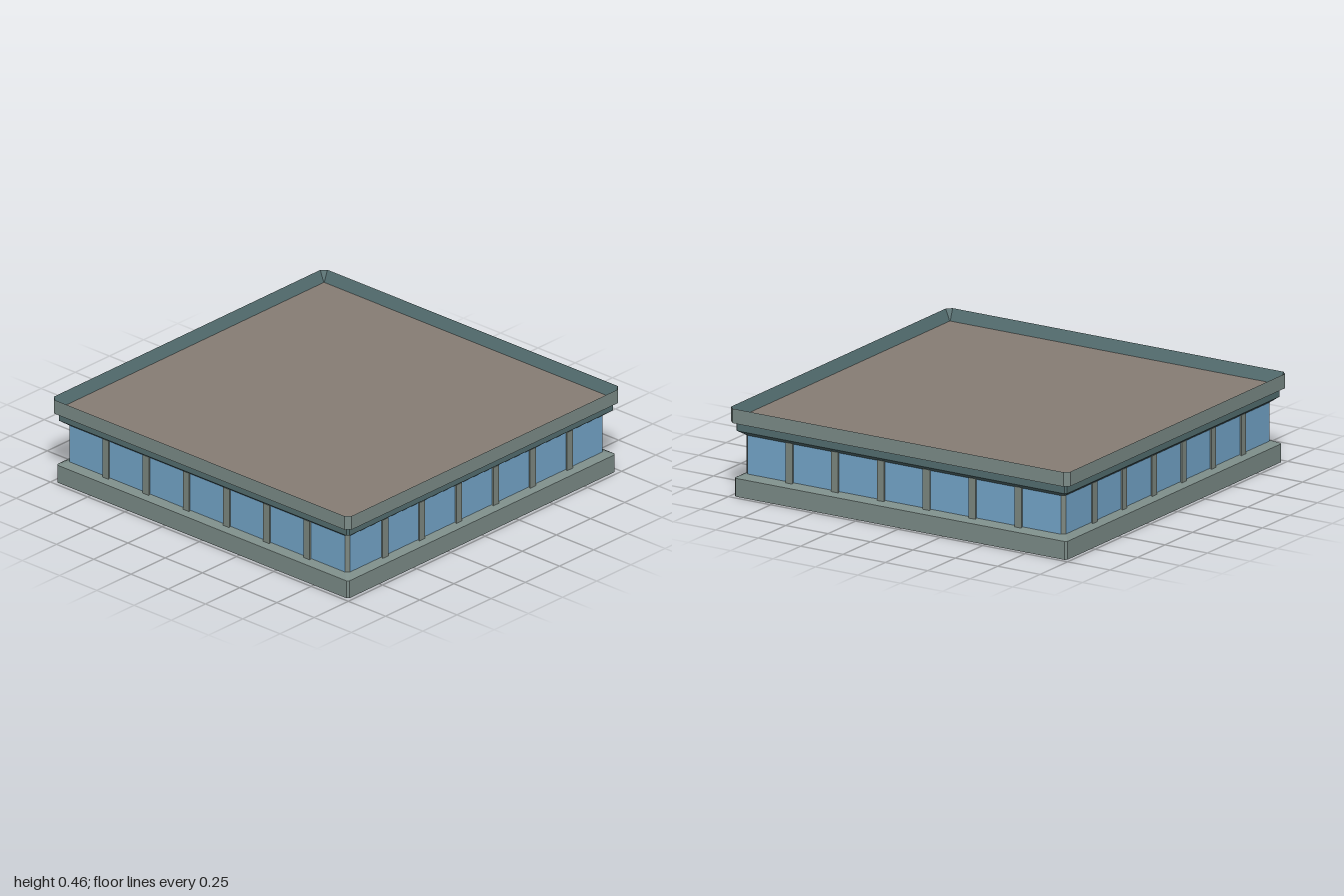
import * as THREE from 'three';

// Square ring with cut corners: half-width r, corner cut c, height y
function ring([r, c, y]) {
  const k = r - c;
  return [[k, r], [r, k], [r, -k], [k, -r], [-k, -r], [-r, -k], [-r, k], [-k, r]]
    .map(([x, z]) => new THREE.Vector3(x, y, z));
}

// Shell through a profile of rings; group 0 = sides, group 1 = cut corners
function shell(profile) {
  const pos = [];
  const geo = new THREE.BufferGeometry();
  for (let s = 0; s < profile.length - 1; s++) {
    const a = ring(profile[s]), b = ring(profile[s + 1]);
    for (let i = 0; i < 8; i++) {
      const j = (i + 1) % 8;
      geo.addGroup(pos.length / 3, 6, i % 2 === 0 ? 1 : 0);
      for (const p of [a[i], a[j], b[j], a[i], b[j], b[i]]) pos.push(p.x, p.y, p.z);
    }
  }
  geo.setAttribute('position', new THREE.Float32BufferAttribute(pos, 3));
  geo.computeVertexNormals();
  return geo;
}

export function createModel() {
  const mat = (name, color) =>
    new THREE.MeshStandardMaterial({ name, color, side: THREE.DoubleSide });
  const stone = mat('greyStone', 0x7c8c88);
  const teal = mat('darkTealTrim', 0x546e70);
  const glass = mat('blueGlass', 0x74a6ca);
  const post = mat('postGrey', 0x7d8881);
  const roofing = mat('brownRoofing', 0x877d75);

  const model = new THREE.Group();
  model.name = 'buildingStorey';
  const add = (name, geo, ...mats) => {
    const mesh = new THREE.Mesh(geo, mats.length > 1 ? mats : [mats[0], mats[0]]);
    mesh.name = name;
    model.add(mesh);
    return mesh;
  };

  // Plinth with a sloped top
  add('plinth', shell([[0.98, 0.01, 0], [0.98, 0.01, 0.095], [0.942, 0.018, 0.115]]), stone);

  // Glazed walls with solid cut corners
  add('glazedWalls', shell([[0.942, 0.018, 0.115], [0.942, 0.018, 0.315]]), glass, post);

  // Cornice flaring out under the parapet
  add('cornice', shell([[0.942, 0.018, 0.315], [0.975, 0.01, 0.34], [0.975, 0.01, 0.385],
    [1, 0.025, 0.385]]), teal);

  // Parapet outside, and its sloped inner face down to the roof
  add('parapet', shell([[1, 0.025, 0.385], [1, 0.025, 0.46]]), stone);
  add('parapetInside', shell([[1, 0.025, 0.46], [0.975, 0.002, 0.4]]), teal);

  // Roof deck
  const roof = new THREE.Mesh(new THREE.PlaneGeometry(1.95, 1.95).rotateX(-Math.PI / 2), roofing);
  roof.name = 'roof';
  roof.position.y = 0.4;
  model.add(roof);

  // Window posts on all four sides
  const postGeo = new THREE.BoxGeometry(0.042, 0.225, 0.008);
  for (let side = 0; side < 4; side++) {
    const row = new THREE.Group();
    row.name = 'windowPosts' + (side + 1);
    row.rotation.y = side * Math.PI / 2;
    for (let i = 0; i < 6; i++) {
      const bar = new THREE.Mesh(postGeo, post);
      bar.name = 'windowPost';
      bar.position.set(-0.675 + i * 0.27, 0.2075, 0.947);
      row.add(bar);
    }
    model.add(row);
  }
  return model;
}
